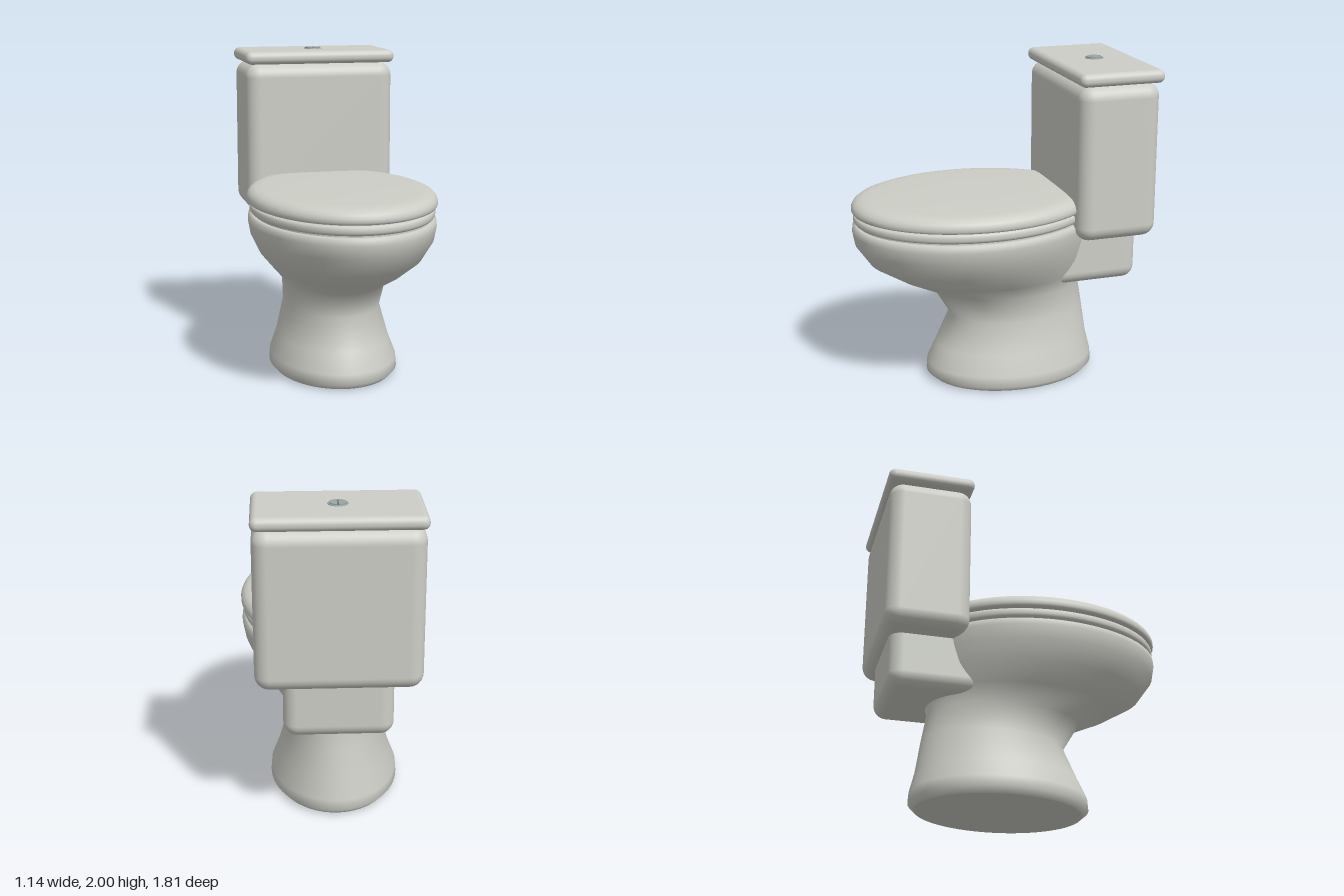
import * as THREE from 'three';
import { RoundedBoxGeometry } from 'three/addons/geometries/RoundedBoxGeometry.js';

const SIDES = 64;

// Smooth loft through elliptical sections [y, halfWidth, zFront, zBack], bottom to top, with flat caps.
function loft(rows) {
  const pos = [], idx = [];
  const ring = ([y, rx, zf, zb]) => {
    const start = pos.length / 3;
    for (let i = 0; i < SIDES; i++) {
      const a = (i / SIDES) * Math.PI * 2;
      pos.push(rx * Math.sin(a), y, (zf + zb) / 2 + ((zf - zb) / 2) * Math.cos(a));
    }
    return start;
  };
  const starts = rows.map(ring);
  for (let r = 0; r < rows.length - 1; r++) {
    for (let i = 0; i < SIDES; i++) {
      const j = (i + 1) % SIDES, a = starts[r], b = starts[r + 1];
      idx.push(a + i, a + j, b + j, a + i, b + j, b + i);
    }
  }
  // caps get their own rings so that their edges stay sharp
  const cap = (row, up) => {
    const s = ring(row), c = pos.length / 3;
    pos.push(0, row[0], (row[2] + row[3]) / 2);
    for (let i = 0; i < SIDES; i++) {
      const j = (i + 1) % SIDES;
      if (up) idx.push(c, s + i, s + j);
      else idx.push(c, s + j, s + i);
    }
  };
  cap(rows[0], false);
  cap(rows[rows.length - 1], true);
  const g = new THREE.BufferGeometry();
  g.setAttribute('position', new THREE.Float32BufferAttribute(pos, 3));
  g.setIndex(idx);
  g.computeVertexNormals();
  return g;
}

// Oval slab: [y, scale] profile applied to the outline of the bowl rim.
const oval = (rx, rz, profile) =>
  loft(profile.map(([y, s]) => [y, rx * s, 0.15 + rz * s, 0.15 - rz * s]));

// Rounded box given by its limits.
function roundedBox(x, y0, y1, z0, z1, r) {
  const g = new RoundedBoxGeometry(2 * x, y1 - y0, z1 - z0, 5, r);
  g.translate(0, (y0 + y1) / 2, (z0 + z1) / 2);
  return g;
}

export function createModel() {
  const model = new THREE.Group();
  model.name = 'toilet';
  const ceramic = new THREE.MeshStandardMaterial({ color: 0xcccec6 });
  const metal = new THREE.MeshStandardMaterial({ color: 0x9aa5a3 });
  const slotMat = new THREE.MeshStandardMaterial({ color: 0x5a6462 });
  const add = (name, geometry, material = ceramic, parent = model) => {
    const mesh = new THREE.Mesh(geometry, material);
    mesh.name = name;
    parent.add(mesh);
    return mesh;
  };

  // Pedestal flowing into the bowl
  add('bowl', loft([
    [0, 0.37, 0.41, -0.6],
    [0.035, 0.4, 0.45, -0.635],
    [0.1, 0.395, 0.445, -0.63],
    [0.22, 0.35, 0.39, -0.6],
    [0.42, 0.3, 0.3, -0.57],
    [0.59, 0.317, 0.4, -0.54],
    [0.69, 0.4, 0.62, -0.56],
    [0.8, 0.49, 0.8, -0.58],
    [0.92, 0.55, 0.885, -0.59],
    [1.0, 0.565, 0.9, -0.6],
    [1.035, 0.562, 0.897, -0.597],
    [1.045, 0.545, 0.88, -0.58],
  ]));

  // Seat and lid, resting on recessed bands
  add('rimGap', oval(0.53, 0.715, [[1.04, 1], [1.07, 1]]));
  add('seat', oval(0.555, 0.742, [
    [1.055, 0.97], [1.062, 0.99], [1.075, 1], [1.095, 1], [1.107, 0.99], [1.112, 0.97],
  ]));
  add('seatGap', oval(0.53, 0.715, [[1.1, 1], [1.13, 1]]));
  add('lid', oval(0.57, 0.752, [
    [1.118, 0.97], [1.123, 0.99], [1.135, 1], [1.155, 1], [1.175, 0.985],
    [1.192, 0.955], [1.203, 0.91], [1.209, 0.83], [1.213, 0.6], [1.215, 0.4],
  ]));

  // Cistern on its support
  add('tankSupport', roundedBox(0.32, 0.635, 1.1, -0.83, -0.2, 0.08));
  add('tank', roundedBox(0.48, 0.955, 1.91, -0.89, -0.38, 0.085));
  add('tankLid', roundedBox(0.485, 1.91, 1.99, -0.905, -0.37, 0.038));

  // Split flush button
  const button = new THREE.Group();
  button.name = 'flushButton';
  button.position.set(0, 1.985, -0.64);
  model.add(button);
  const collar = add('buttonCollar', new THREE.CylinderGeometry(0.056, 0.06, 0.012, 32), metal, button);
  collar.position.y = 0.004;
  const slot = add('buttonSlot', new THREE.BoxGeometry(0.007, 0.002, 0.096), slotMat, button);
  slot.position.y = 0.0105;
  for (const side of [1, -1]) {
    const shape = new THREE.Shape();
    shape.absarc(0, 0, 0.046, -Math.PI / 2, Math.PI / 2);
    const g = new THREE.ExtrudeGeometry(shape, { depth: 0.008, bevelEnabled: false, curveSegments: 16 });
    g.rotateX(-Math.PI / 2);
    const half = add(side > 0 ? 'leftButtonHalf' : 'rightButtonHalf', g, metal, button);
    half.rotation.y = side > 0 ? 0 : Math.PI;
    half.position.set(side * 0.0035, 0.007, 0);
  }
  return model;
}
